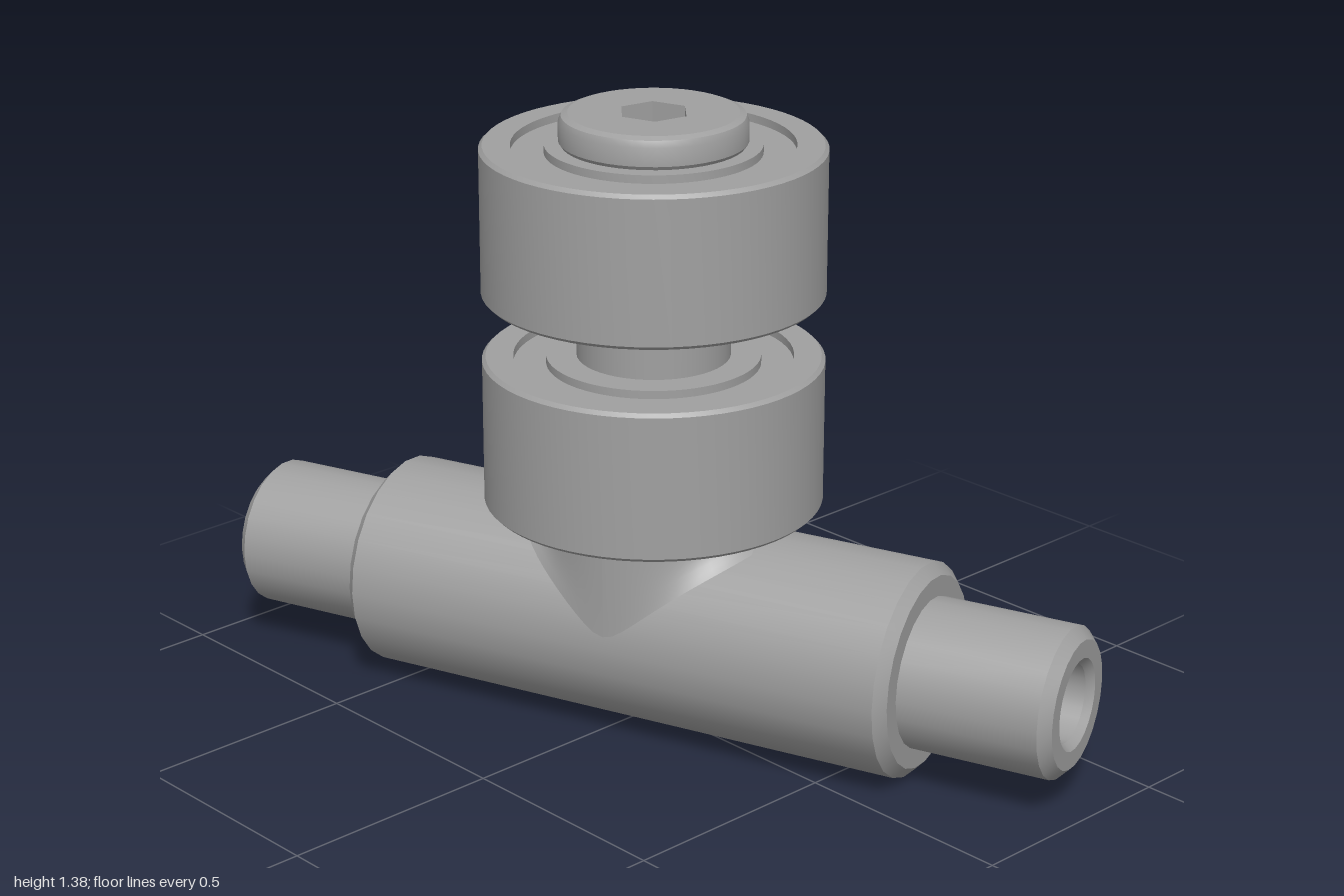
import * as THREE from 'three';
import { toCreasedNormals } from 'three/addons/utils/BufferGeometryUtils.js';

const steel = new THREE.MeshStandardMaterial({ color: 0xa0a0a0, side: THREE.DoubleSide });
steel.name = 'steel grey';

const ROD_R = 0.235, NECK_R = 0.232, NECK_TOP = 0.515;

function mesh(name, geometry) {
  const m = new THREE.Mesh(geometry, steel);
  m.name = name;
  return m;
}

// Turned part with crisp edges; the profile runs from bottom to top
function turned(points, sides) {
  const g = new THREE.LatheGeometry(points.map(([r, y]) => new THREE.Vector2(r, y)), sides);
  return toCreasedNormals(g, 0.5);
}

// Stepped rod with a bored hole in each end
function rod() {
  const half = [[ROD_R, 0.635], [0.21, 0.658], [0.165, 0.658], [0.165, 0.972],
    [0.14, 0.996], [0.1, 0.996], [0.085, 0.98], [0.085, 0.64], [0, 0.59]];
  const mirrored = half.map(([r, y]) => [r, -y]).reverse();
  const g = turned([...mirrored, ...half], 24);
  g.rotateZ(-Math.PI / 2);
  const m = mesh('rod', g);
  m.position.y = ROD_R;
  return m;
}

// Upright neck that flares along the rod where the two meet
function neck() {
  const g = new THREE.CylinderGeometry(NECK_R, NECK_R, 1, 64, 8, true);
  const p = g.attributes.position;
  for (let i = 0; i < p.count; i++) {
    const a = Math.atan2(p.getZ(i), p.getX(i));
    const t = p.getY(i) + 0.5;
    const r = NECK_R + 0.06 * Math.cos(a) ** 2 * (1 - t) ** 2.5;
    const across = Math.min(NECK_R * Math.abs(Math.sin(a)), ROD_R);
    const base = ROD_R + Math.sqrt(ROD_R ** 2 - across ** 2) - 0.006;
    p.setXYZ(i, r * Math.cos(a), base + (NECK_TOP - base) * t, r * Math.sin(a));
  }
  g.computeVertexNormals();
  return mesh('neck', g);
}

// Bearing with a shallow recessed seal on both faces
function bearing(name, y0, y1) {
  const R = 0.367, c = 0.008, d = 0.018;
  return mesh(name, turned([[0.15, y0], [0.23, y0], [0.23, y0 + d], [0.3, y0 + d], [0.3, y0],
    [R - c, y0], [R, y0 + c], [R, y1 - c], [R - c, y1],
    [0.3, y1], [0.3, y1 - d], [0.23, y1 - d], [0.23, y1], [0.15, y1]], 64));
}

// Screw head with a hexagonal socket ending in a drilled point
function screwHead() {
  const head = new THREE.Group();
  head.name = 'screwHead';
  const top = 1.375, hexR = 0.077, depth = 0.06;
  head.add(mesh('headRim', turned([[0.1, 1.3], [0.19, 1.3], [0.2, 1.315], [0.2, 1.355],
    [0.194, 1.369], [0.18, top]], 48)));

  const face = new THREE.Shape().absarc(0, 0, 0.18, 0, Math.PI * 2);
  const hex = Array.from({ length: 6 }, (_, i) => new THREE.Vector2(
    hexR * Math.cos(i * Math.PI / 3), hexR * Math.sin(i * Math.PI / 3)));
  face.holes.push(new THREE.Path(hex));
  const faceGeo = new THREE.ShapeGeometry(face, 24);
  faceGeo.rotateX(-Math.PI / 2).translate(0, top, 0);
  head.add(mesh('headFace', faceGeo));

  // Socket walls and tip, listed from the tip up so they face inward
  const socket = turned([[hexR, top], [hexR, top - depth], [0, top - depth - 0.04]], 6);
  socket.rotateY(Math.PI / 6 + Math.PI / 3 * 2);
  head.add(mesh('hexSocket', socket));
  return head;
}

export function createModel() {
  const model = new THREE.Group();
  model.name = 'rollerArm';
  model.add(
    rod(),
    neck(),
    bearing('lowerBearing', 0.51, 0.84),
    bearing('upperBearing', 0.978, 1.307),
    mesh('shaft', new THREE.CylinderGeometry(0.165, 0.165, 0.82, 48).translate(0, 0.9, 0)),
    screwHead(),
  );
  // The rod lies at an angle across the front
  model.rotation.y = THREE.MathUtils.degToRad(18.5);
  return model;
}
